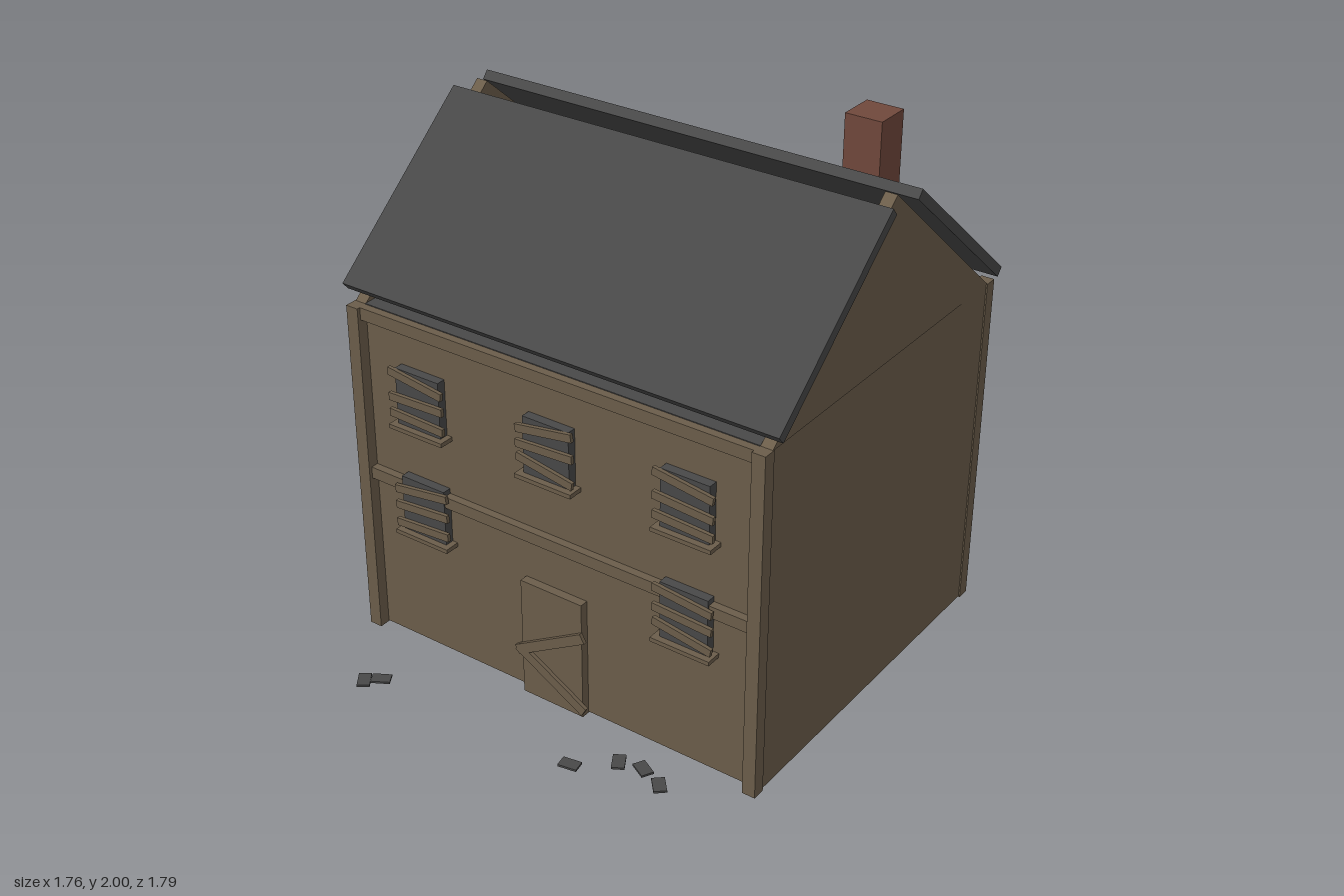
import * as THREE from 'three';

export function createModel() {
  const house = new THREE.Group();
  house.name = 'boardedHouse';
  const material = (name, color) => {
    const m = new THREE.MeshStandardMaterial({ color });
    m.name = name;
    return m;
  };
  const wood = material('weatheredWood', 0x6b5d4a);
  const slate = material('darkSlate', 0x484848);
  const brick = material('brick', 0x70483c);

  const add = (name, geometry, mat, parent = house) => {
    const mesh = new THREE.Mesh(geometry, mat);
    mesh.name = name;
    parent.add(mesh);
    return mesh;
  };
  // Box given by its minimum and maximum on each axis
  const span = (name, mat, x0, x1, y0, y1, z0, z1, parent) => {
    const mesh = add(name, new THREE.BoxGeometry(x1 - x0, y1 - y0, z1 - z0), mat, parent);
    mesh.position.set((x0 + x1) / 2, (y0 + y1) / 2, (z0 + z1) / 2);
    return mesh;
  };
  // Flat plank turned in the plane of the facade
  const plank = (name, x, y, z, length, height, degrees, parent) => {
    const mesh = add(name, new THREE.BoxGeometry(length, height, 0.014), wood, parent);
    mesh.position.set(x, y, z);
    mesh.rotation.z = THREE.MathUtils.degToRad(degrees);
  };

  // Main body and attic floor
  span('walls', wood, -0.843, 0.843, 0.004, 1.318, -0.85, 0.525);
  span('atticFloor', slate, -0.8, 0.8, 1.318, 1.323, -0.85, 0.525);

  // Corner posts
  for (const x of [-0.823, 0.823]) {
    for (const z of [0.543, -0.869]) {
      span('cornerPost', wood, x - 0.025, x + 0.025, 0, 1.32, z - 0.025, z + 0.025);
    }
  }

  // Horizontal beams on the front and back
  for (const [z0, z1] of [[0.52, 0.555], [-0.885, -0.845]]) {
    span('middleBeam', wood, -0.8, 0.8, 0.64, 0.685, z0, z1);
    span('topBeam', wood, -0.8, 0.8, 1.273, 1.32, z0, z1);
  }

  // Gable walls
  const triangle = new THREE.Shape();
  triangle.moveTo(0.525, 1.318);
  triangle.lineTo(-0.16, 1.91);
  triangle.lineTo(-0.85, 1.318);
  triangle.closePath();
  const gable = new THREE.ExtrudeGeometry(triangle, { depth: 0.045, bevelEnabled: false });
  gable.rotateY(-Math.PI / 2);
  for (const x of [0.845, -0.8]) add('gable', gable, wood).position.x = x;

  // Two roof slabs with an open ridge
  for (const side of [1, -1]) {
    const slab = add('roofSlab', new THREE.BoxGeometry(1.76, 0.037, 0.808), slate);
    slab.position.set(0, 1.63, -0.165 + side * 0.389);
    slab.rotation.x = side * THREE.MathUtils.degToRad(40);
  }
  span('chimney', brick, 0.477, 0.617, 1.63, 2, -0.586, -0.446);

  // Boarded windows: centre x, sill top, then height and tilt of each board
  const windows = [
    [-0.555, 0.92, [[0.19, -8], [0.11, 2], [0.04, -2]]],
    [-0.003, 0.92, [[0.19, 9], [0.12, 3], [0.045, -10]]],
    [0.55, 0.92, [[0.19, -8], [0.11, -4], [0.04, -3]]],
    [-0.555, 0.488, [[0.182, 8], [0.11, 5], [0.035, 4]]],
    [0.55, 0.488, [[0.185, -6], [0.113, -3], [0.045, -9]]],
  ];
  for (const [x, y, boards] of windows) {
    const group = new THREE.Group();
    group.name = 'boardedWindow';
    house.add(group);
    span('pane', slate, x - 0.095, x + 0.095, y, y + 0.217, 0.52, 0.56, group);
    span('sill', wood, x - 0.117, x + 0.117, y - 0.016, y, 0.52, 0.584, group);
    for (const [up, tilt] of boards) plank('windowBoard', x, y + up, 0.568, 0.235, 0.03, tilt, group);
  }

  // Door barred by two crossed planks
  span('door', wood, -0.13, 0.13, 0, 0.472, 0.52, 0.558);
  plank('doorBoard', 0, 0.265, 0.567, 0.33, 0.038, 30);
  plank('doorBoard', 0, 0.115, 0.565, 0.33, 0.038, -30);

  // Fallen roof tiles: x, z and turn
  const tiles = [
    [-0.625, 0.85, -55], [-0.58, 0.81, 30], [0.25, 0.79, 10],
    [0.378, 0.685, -60], [0.465, 0.665, -28], [0.558, 0.703, -48],
  ];
  tiles.forEach(([x, z, turn], i) => {
    const tile = add('fallenTile', new THREE.BoxGeometry(0.07, 0.008, 0.046), slate);
    tile.position.set(x, 0.005 + (i % 2) * 0.001, z);
    tile.rotation.y = THREE.MathUtils.degToRad(turn);
  });

  return house;
}
